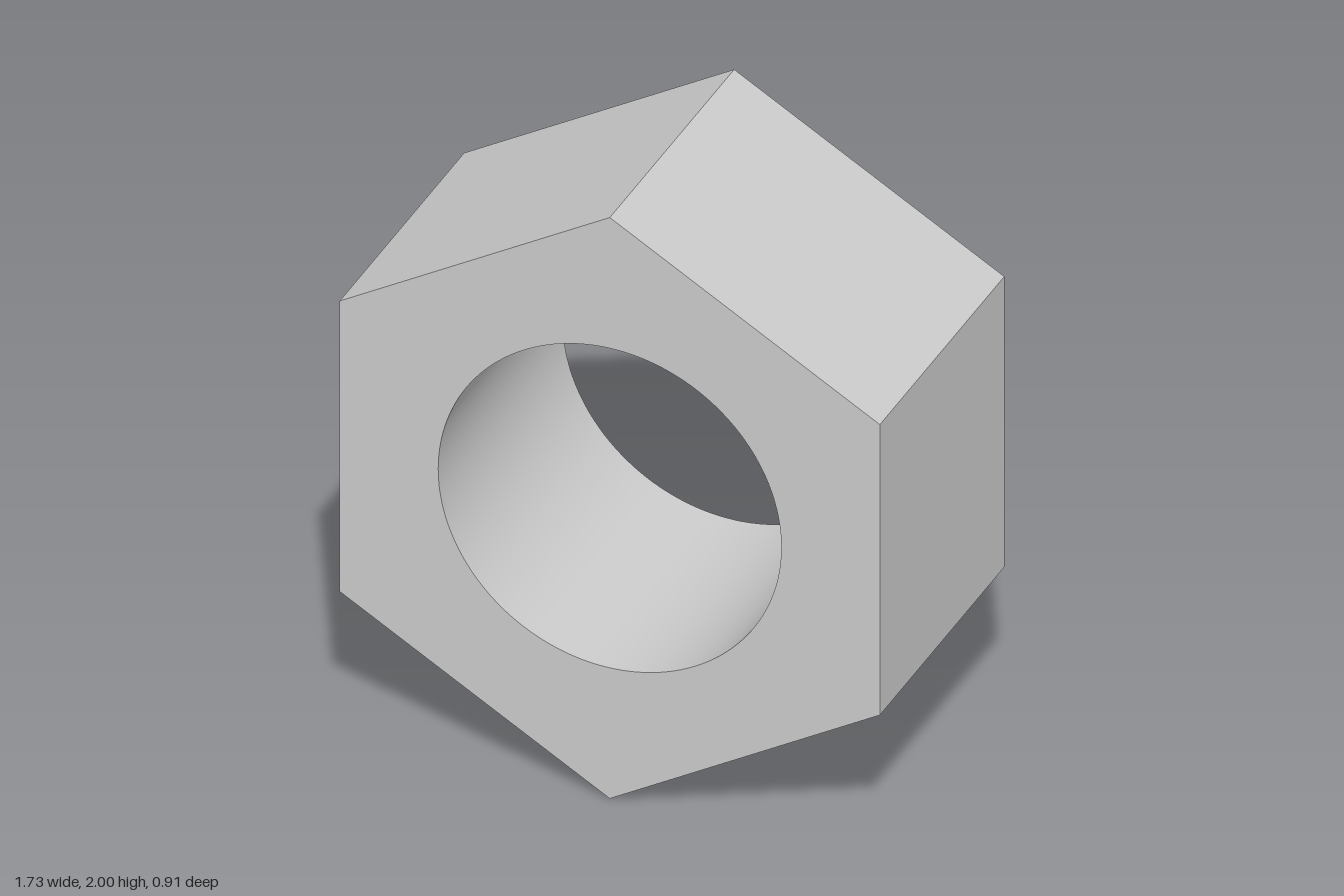
import * as THREE from 'three';
import { toCreasedNormals } from 'three/addons/utils/BufferGeometryUtils.js';

const RADIUS = 1; // centre to corner
const BORE = 0.55;
const DEPTH = 0.91;

export function createModel() {
  const group = new THREE.Group();
  group.name = 'hexNut';

  // Hexagonal outline with a corner at the top
  const corners = Array.from({ length: 6 }, (_, i) => {
    const a = Math.PI / 2 + (i * Math.PI) / 3;
    return new THREE.Vector2(RADIUS * Math.cos(a), RADIUS * Math.sin(a));
  });
  const outline = new THREE.Shape(corners);

  // Round bore through the middle
  outline.holes.push(new THREE.Path().absarc(0, 0, BORE, 0, Math.PI * 2, true));

  const extruded = new THREE.ExtrudeGeometry(outline, {
    depth: DEPTH,
    bevelEnabled: false,
    curveSegments: 96,
  });
  extruded.translate(0, RADIUS, -DEPTH / 2);

  // Smooth bore wall, sharp hexagon edges
  const body = new THREE.Mesh(
    toCreasedNormals(extruded, 0.5),
    new THREE.MeshStandardMaterial({ color: 0xcccccc })
  );
  body.name = 'nutBody';
  group.add(body);

  return group;
}
